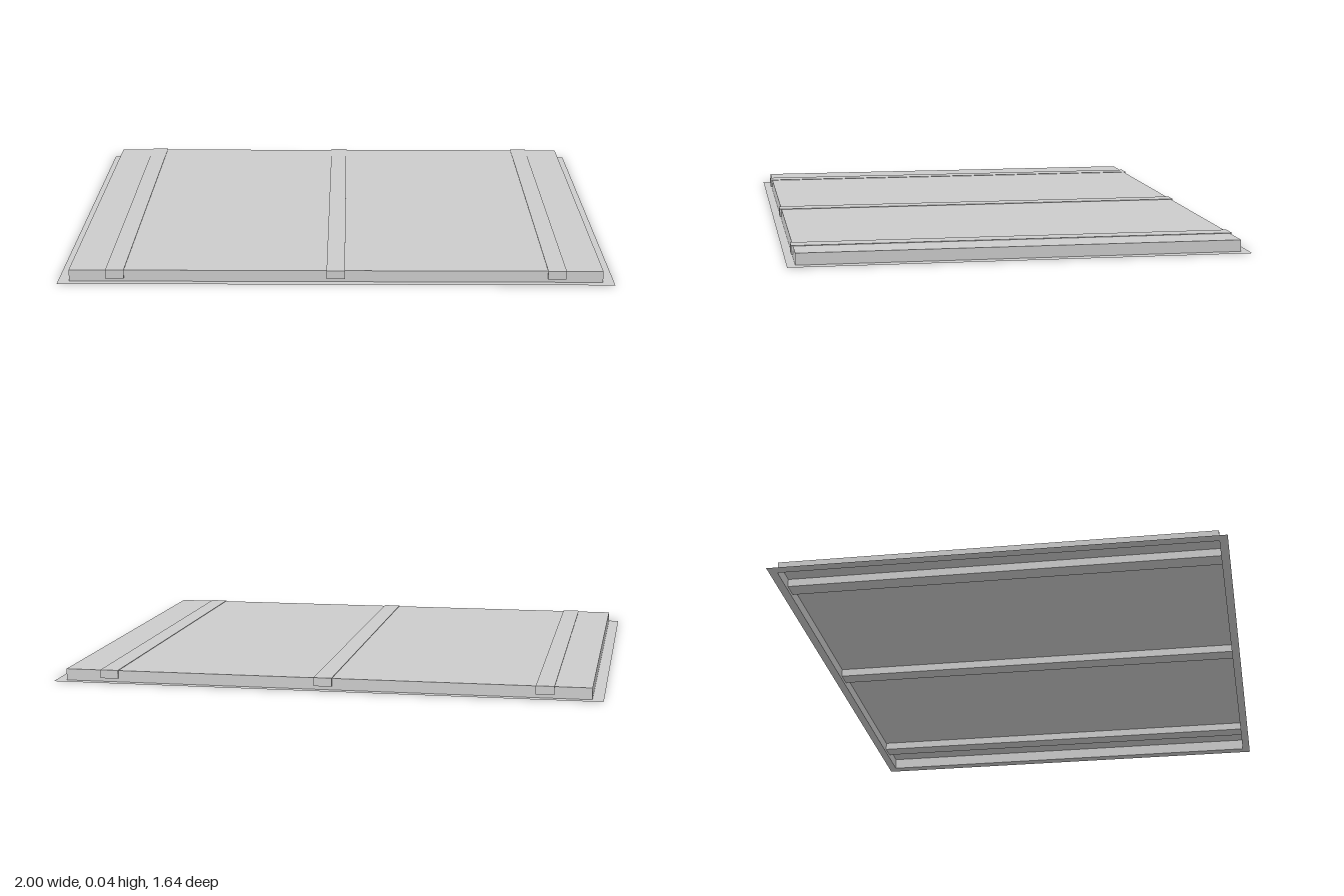
import * as THREE from 'three';

const HALF_X = 0.96, HALF_Z = 0.79, TOP = 0.042;

export function createModel() {
  const group = new THREE.Group();
  const material = new THREE.MeshStandardMaterial({ color: 0xcccccc, side: THREE.DoubleSide });
  const add = (name, geometry, x = 0, y = 0, z = 0) => {
    const mesh = new THREE.Mesh(geometry, material);
    mesh.name = name;
    mesh.position.set(x, y, z);
    group.add(mesh);
    return mesh;
  };
  const rectangle = (path, hx, hz) =>
    path.moveTo(-hx, -hz).lineTo(hx, -hz).lineTo(hx, hz).lineTo(-hx, hz).closePath();

  // Thin flat rim around the open underside
  const rim = rectangle(new THREE.Shape(), 1, 0.82);
  rim.holes.push(rectangle(new THREE.Path(), HALF_X, HALF_Z));
  add('rim', new THREE.ShapeGeometry(rim).rotateX(-Math.PI / 2));

  // Raised sheet panel, open below
  add('topPanel', new THREE.PlaneGeometry(2 * HALF_X, 2 * HALF_Z).rotateX(-Math.PI / 2), 0, TOP);
  for (const s of [-1, 1]) {
    const side = s > 0 ? 'left' : 'right', end = s > 0 ? 'front' : 'back';
    add(side + 'Wall', new THREE.PlaneGeometry(2 * HALF_Z, TOP).rotateY(s * Math.PI / 2), s * HALF_X, TOP / 2);
    add(end + 'Wall', new THREE.PlaneGeometry(2 * HALF_X, TOP).rotateY(s > 0 ? 0 : Math.PI), 0, TOP / 2, s * HALF_Z);
  }

  // Cross battens, slightly proud of the panel at the top and the ends
  for (const [name, x] of [['rightBatten', -0.795], ['middleBatten', 0], ['leftBatten', 0.795]]) {
    add(name, new THREE.BoxGeometry(0.066, 0.031, 1.594), x, 0.0285);
  }
  return group;
}
